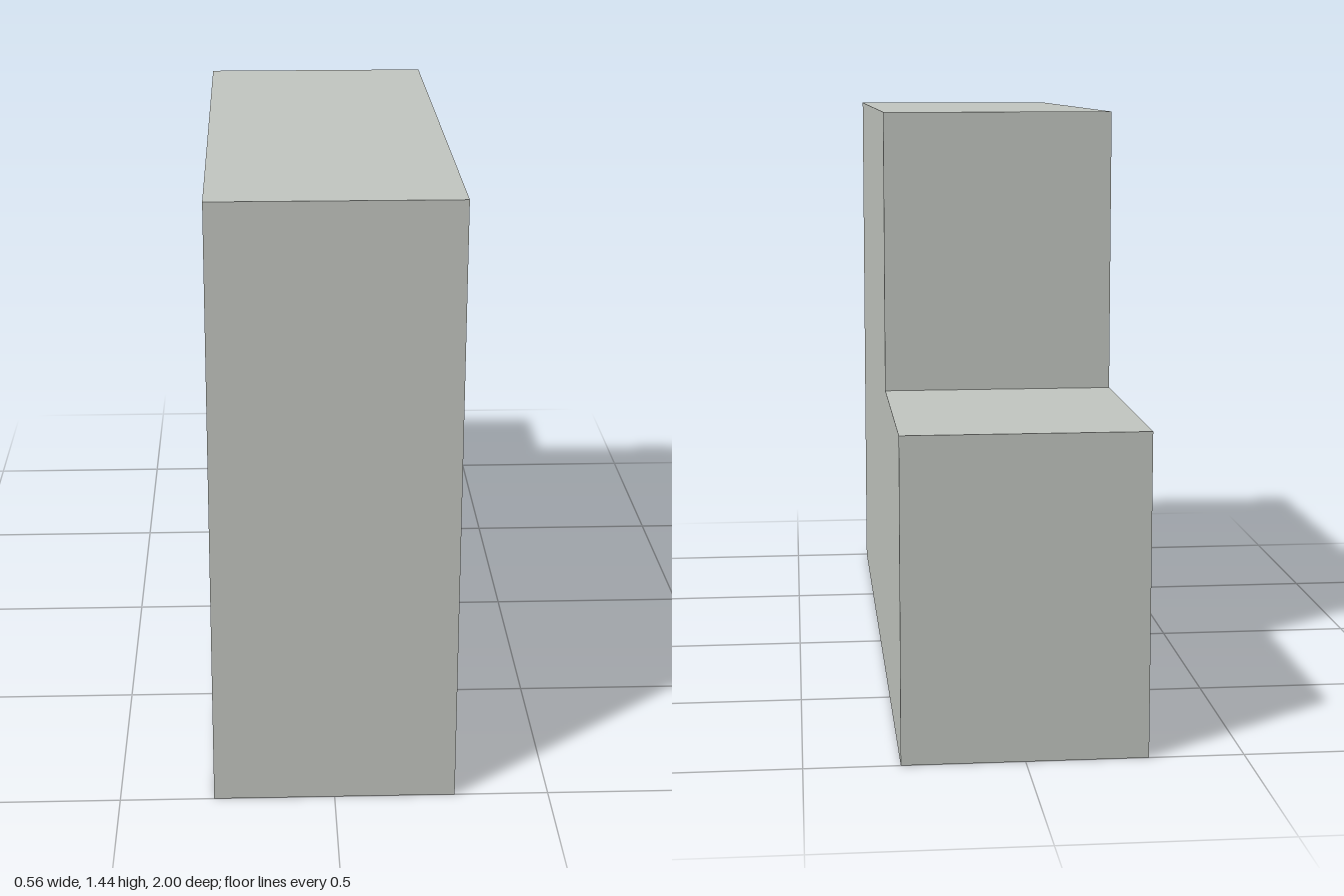
import * as THREE from 'three';

const WIDTH = 0.5625, PANEL = 0.0625, WALL = 0.125, CELL = 0.5;
const HEIGHT = 1.4375, STEP_Y = 0.75, STEP_Z = -0.375;

// Stepped side outline, drawn with shape x = -z
function outline() {
  return new THREE.Shape([
    [-1, 0], [1, 0], [1, STEP_Y], [-STEP_Z, STEP_Y], [-STEP_Z, HEIGHT], [-1, HEIGHT],
  ].map(([x, y]) => new THREE.Vector2(x, y)));
}

// Square compartment opening with its lower corner at (x, y)
function opening(x, y) {
  return new THREE.Path([
    new THREE.Vector2(x, y), new THREE.Vector2(x, y + CELL),
    new THREE.Vector2(x + CELL, y + CELL), new THREE.Vector2(x + CELL, y),
  ]);
}

// Extrude a side profile across the width, starting at x = start
function slab(name, shape, depth, start, material) {
  const geometry = new THREE.ExtrudeGeometry(shape, { depth, bevelEnabled: false });
  geometry.rotateY(Math.PI / 2);
  geometry.translate(start, 0, 0);
  const mesh = new THREE.Mesh(geometry, material);
  mesh.name = name;
  return mesh;
}

export function createModel() {
  const group = new THREE.Group();
  group.name = 'steppedShelf';
  const paleGrey = new THREE.MeshStandardMaterial({ color: 0xc4c8c2 });
  paleGrey.name = 'pale grey';

  // Compartments: three in the lower row, two in the upper row
  const frame = outline();
  [[WALL, 3], [0.8125, 2]].forEach(([y, count]) => {
    for (let i = 0; i < count; i++) {
      frame.holes.push(opening(-1 + WALL + i * (CELL + WALL), y));
    }
  });
  group.add(slab('shelfFrame', frame, WIDTH - PANEL, -WIDTH / 2, paleGrey));

  // Solid panel closing the compartments
  group.add(slab('backPanel', outline(), PANEL, WIDTH / 2 - PANEL, paleGrey));
  return group;
}
